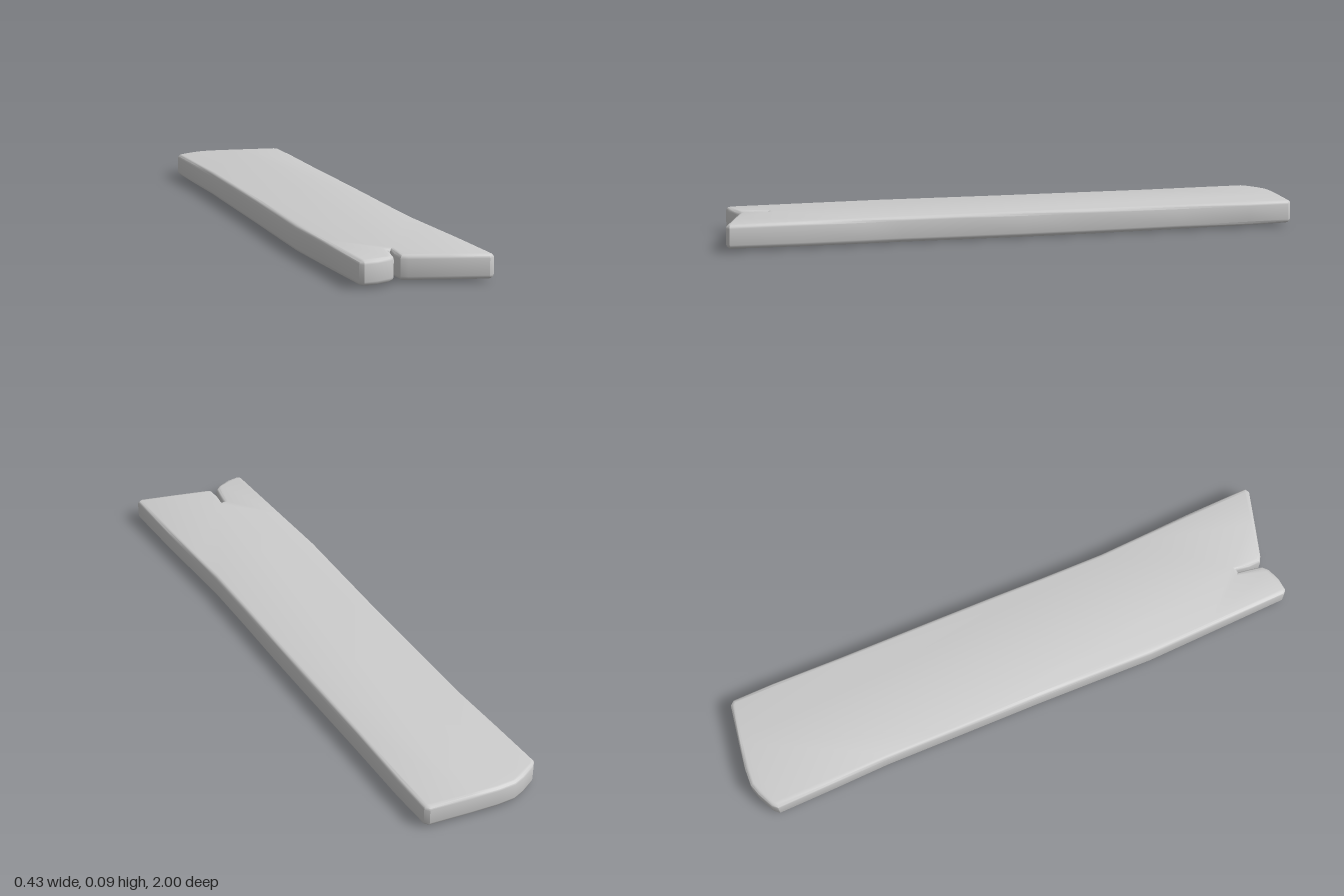
import * as THREE from 'three';
import { toCreasedNormals } from 'three/addons/utils/BufferGeometryUtils.js';

// Plank outline seen from above, as [x, z]
const outline = [
  // front end with the split
  [-0.207, 0.935], [-0.195, 0.946], [-0.15, 0.943], [-0.105, 0.927], [-0.086, 0.91],
  [-0.077, 0.87], [-0.07, 0.825], [-0.062, 0.825], [-0.068, 0.87], [-0.066, 0.914],
  [-0.045, 0.925], [0.07, 0.962], [0.188, 0.999], [0.205, 0.99],
  // left edge, running to the back
  [0.2, 0.75], [0.192, 0.55], [0.187, 0.42], [0.191, 0.2], [0.197, 0], [0.201, -0.2],
  [0.207, -0.55], [0.214, -0.8], [0.213, -0.945], [0.2, -0.959],
  // rounded back end
  [0.06, -0.983], [-0.03, -0.997], [-0.09, -1], [-0.13, -0.988], [-0.185, -0.962], [-0.2, -0.945],
  // right edge, running to the front
  [-0.197, -0.75], [-0.192, -0.55], [-0.197, -0.3], [-0.203, 0], [-0.21, 0.2],
  [-0.218, 0.42], [-0.213, 0.65],
];

export function createModel() {
  const group = new THREE.Group();
  group.name = 'woodenPlank';

  const bevel = 0.013, bottom = 0.009, top = 0.087;
  const shape = new THREE.Shape(outline.map(([x, z]) => new THREE.Vector2(x, -z)));
  const geometry = new THREE.ExtrudeGeometry(shape, {
    depth: top - bottom - 2 * bevel,
    bevelEnabled: true,
    bevelThickness: bevel,
    bevelSize: bevel,
    bevelOffset: -bevel,
    bevelSegments: 3,
  });
  geometry.rotateX(-Math.PI / 2);
  geometry.translate(0, bottom + bevel, 0);

  // Underside sags slightly towards the middle of the length
  const p = geometry.attributes.position;
  for (let i = 0; i < p.count; i++) {
    const y = p.getY(i), z = p.getZ(i);
    const low = (top - y) / (top - bottom);
    p.setY(i, y - bottom * low * (1 - z * z));
  }

  const plank = new THREE.Mesh(
    toCreasedNormals(geometry, 0.65),
    new THREE.MeshStandardMaterial({ color: 0xcccccc })
  );
  plank.name = 'plank';
  group.add(plank);
  return group;
}
